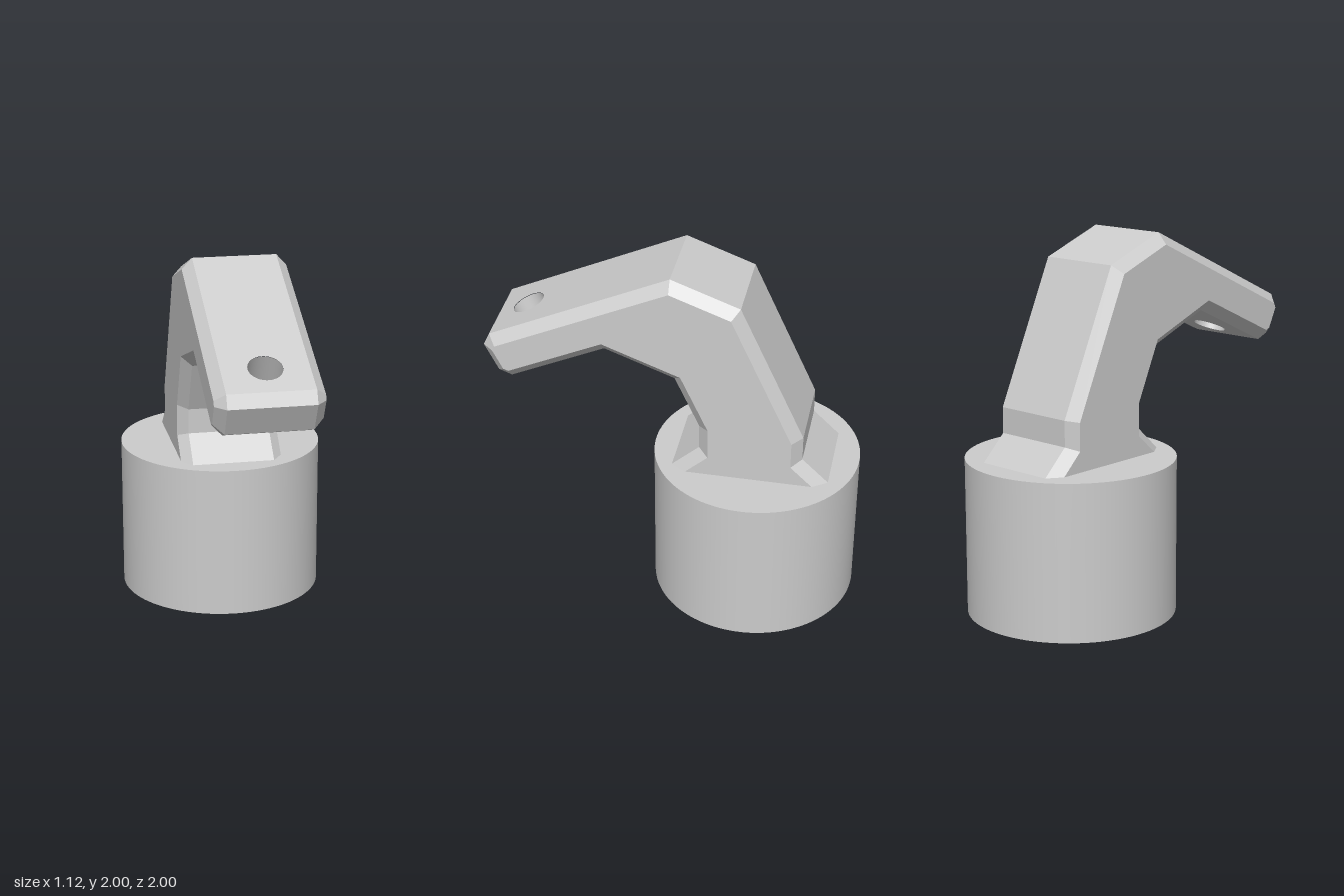
import * as THREE from 'three';
import { mergeGeometries } from 'three/addons/utils/BufferGeometryUtils.js';

const V2 = (x, y) => new THREE.Vector2(x, y);
const V3 = (x, y, z) => new THREE.Vector3(x, y, z);

const HALF = 0.28;      // half width of the hook
const CHAMFER = 0.055;  // edge chamfer
const FLAT = HALF - CHAMFER;
const HOLE_R = 0.089;
const HOLE = V2(0.808, 1.623); // hole centre on the arm's upper face (z, y)
const ARM_BOTTOM = 9, ARM_TOP = 13; // profile edges pierced by the hole

// Side outline as (z, y), counter-clockwise; its foot sinks into the base
const OUTLINE = [
  [0, 2], [-0.365, 1.867], [-0.712, 1.115], [-0.712, 0.976], [-0.93, 0.77],
  [0.07, 0.77], [-0.157, 0.976], [-0.157, 1.115], [-0.024, 1.403],
  [0.349, 1.541], [0.856, 1.307], [0.925, 1.333], [1.0, 1.483], [0.968, 1.552],
].map(([z, y]) => V2(z, y));

const edgeDir = i => {
  const n = OUTLINE.length;
  return OUTLINE[(i + 1) % n].clone().sub(OUTLINE[(i + n) % n]).normalize();
};
const outward = i => { const d = edgeDir(i); return V2(d.y, -d.x); };

// Outline moved inwards by the chamfer, with mitred corners
function insetOutline() {
  return OUTLINE.map((p, i) => {
    const a = outward(i - 1), b = outward(i);
    return p.clone().addScaledVector(a.clone().add(b), -CHAMFER / (1 + a.dot(b)));
  });
}

// Flat shape placed in space by its axes and origin
function panel(shape, u, v, origin) {
  const m = new THREE.Matrix4().makeBasis(u, v, u.clone().cross(v)).setPosition(origin);
  const g = new THREE.ShapeGeometry(shape, 32).toNonIndexed().applyMatrix4(m);
  g.deleteAttribute('uv');
  g.deleteAttribute('normal');
  return g;
}

function quad(a, b, c, d) {
  return new THREE.BufferGeometry().setFromPoints([a, b, c, a, c, d]);
}

function hookGeometry() {
  const inner = insetOutline(), n = OUTLINE.length, parts = [];
  OUTLINE.forEach((p, i) => {
    const j = (i + 1) % n, q = OUTLINE[j], d = edgeDir(i), len = p.distanceTo(q);
    // Flat strip running around the outline
    const strip = new THREE.Shape([V2(0, -FLAT), V2(len, -FLAT), V2(len, FLAT), V2(0, FLAT)]);
    if (i === ARM_TOP || i === ARM_BOTTOM) {
      const at = HOLE.clone().sub(p).dot(d);
      strip.holes.push(new THREE.Path().absarc(at, 0, HOLE_R, 0, Math.PI * 2, true));
    }
    parts.push(panel(strip, V3(0, d.y, d.x), V3(-1, 0, 0), V3(0, p.y, p.x)));
    // Chamfers on both sides
    for (const s of [-1, 1]) {
      const c = [
        V3(s * FLAT, p.y, p.x), V3(s * FLAT, q.y, q.x),
        V3(s * HALF, inner[j].y, inner[j].x), V3(s * HALF, inner[i].y, inner[i].x),
      ];
      if (s > 0) c.reverse();
      parts.push(quad(...c));
    }
  });
  // Side faces
  for (const s of [-1, 1]) {
    const side = new THREE.Shape(inner.map(p => V2(-s * p.x, p.y)));
    parts.push(panel(side, V3(0, 0, -s), V3(0, 1, 0), V3(s * HALF, 0, 0)));
  }
  const g = mergeGeometries(parts);
  g.computeVertexNormals();
  return g;
}

export function createModel() {
  const group = new THREE.Group();
  const grey = new THREE.MeshStandardMaterial({ color: 0xcccccc });
  const add = (name, geometry, material = grey) => {
    const mesh = new THREE.Mesh(geometry, material);
    mesh.name = name;
    group.add(mesh);
    return mesh;
  };

  // Round base
  add('base', new THREE.CylinderGeometry(0.559, 0.559, 0.842, 96))
    .position.set(0, 0.421, -0.437);

  // Bent, chamfered arm
  add('hook', hookGeometry());

  // Wall of the hole through the arm's tip, square to the arm
  const top = outward(ARM_TOP);
  const depth = OUTLINE[0].clone().sub(OUTLINE[ARM_BOTTOM]).dot(top);
  const mid = HOLE.clone().addScaledVector(top, -depth / 2);
  const inside = new THREE.MeshStandardMaterial({ color: 0xcccccc, side: THREE.BackSide });
  const wall = add('holeWall', new THREE.CylinderGeometry(HOLE_R, HOLE_R, depth, 64, 1, true), inside);
  wall.position.set(0, mid.y, mid.x);
  wall.rotation.x = Math.atan2(top.x, top.y);

  return group;
}
